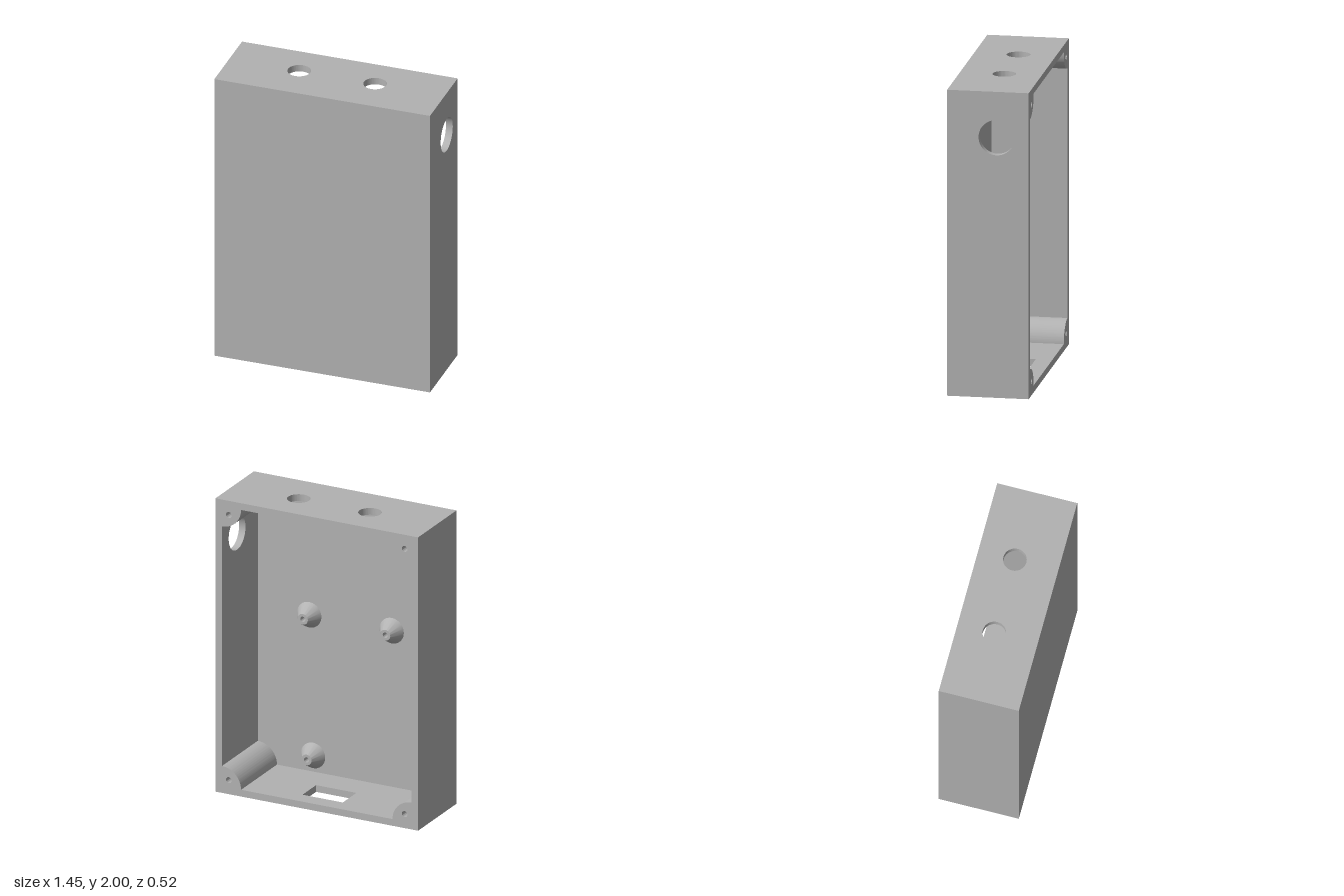
import * as THREE from 'three';
import { toCreasedNormals } from 'three/addons/utils/BufferGeometryUtils.js';

const W = 0.725, H = 2, D = 0.2625;   // half width, height, half depth
const T = 0.046;                      // wall thickness
const FLOOR = 0.228;                  // inner face of the front panel
const POST_R = 0.137, SCREW = 0.05, SCREW_R = 0.02;

const plastic = new THREE.MeshStandardMaterial({ color: 0xb2b2b2 });
plastic.name = 'grey plastic';

function part(group, name, geometry) {
  const mesh = new THREE.Mesh(geometry, plastic);
  mesh.name = name;
  group.add(mesh);
  return mesh;
}

function rectangle(x0, y0, x1, y1, Type = THREE.Shape) {
  const s = new Type();
  s.moveTo(x0, y0);
  s.lineTo(x1, y0);
  s.lineTo(x1, y1);
  s.lineTo(x0, y1);
  s.closePath();
  return s;
}

function circle(x, y, r) {
  return new THREE.Path().absarc(x, y, r, 0, Math.PI * 2, true);
}

function plate(shape, holes, depth) {
  shape.holes.push(...holes);
  const g = new THREE.ExtrudeGeometry(shape, { depth, bevelEnabled: false, curveSegments: 32 });
  return toCreasedNormals(g, 0.6);
}

export function createModel() {
  const model = new THREE.Group();
  model.name = 'enclosure';

  // Closed front panel
  const front = part(model, 'frontPanel', new THREE.BoxGeometry(W * 2, H, D - FLOOR));
  front.position.set(0, H / 2, (D + FLOOR) / 2);

  // Top wall with two round holes (shape y is -z)
  const top = plate(rectangle(-W, -FLOOR, W, D),
    [-0.255, 0.255].map(x => circle(x, 0.022, 0.075)), T);
  part(model, 'topWall', top.rotateX(-Math.PI / 2)).position.y = H - T;

  // Bottom wall with a rectangular slot
  const bottom = plate(rectangle(-W, -FLOOR, W, D),
    [rectangle(-0.13, -0.03, 0.158, 0.156, THREE.Path)], T);
  part(model, 'bottomWall', bottom.rotateX(-Math.PI / 2));

  // Side walls; only the left one has a cable hole (shape x is -z)
  for (const side of [1, -1]) {
    const holes = side > 0 ? [circle(0.055, 1.7, 0.115)] : [];
    const wall = plate(rectangle(-FLOOR, T, D, H - T), holes, T);
    part(model, side > 0 ? 'leftWall' : 'rightWall', wall.rotateY(Math.PI / 2))
      .position.x = side > 0 ? W - T : -W;
  }

  // Quarter-round screw posts in the four corners
  const quarter = new THREE.Shape();
  quarter.moveTo(0, 0);
  quarter.lineTo(POST_R, 0);
  quarter.absarc(0, 0, POST_R, 0, Math.PI / 2, false);
  quarter.closePath();
  const post = plate(quarter, [circle(SCREW, SCREW, SCREW_R)], D + FLOOR);
  [[-1, 0], [1, 0], [1, 1], [-1, 1]].forEach(([sx, up], i) => {
    const mesh = part(model, 'screwPost', post);
    mesh.rotation.z = i * Math.PI / 2;
    mesh.position.set(sx * (W - T), up ? H - T : T, -D);
  });

  // Conical board standoffs with pilot holes
  const profile = [[0.087, 0], [0.036, 0.088], [0.018, 0.088], [0.018, 0.01], [0, 0.01]]
    .map(([r, y]) => new THREE.Vector2(r, y));
  const cone = toCreasedNormals(new THREE.LatheGeometry(profile, 40), 0.6).rotateX(-Math.PI / 2);
  for (const [x, y] of [[0.311, 1.11], [-0.279, 1.11], [0.284, 0.156]]) {
    part(model, 'standoff', cone).position.set(x, y, FLOOR);
  }

  return model;
}
